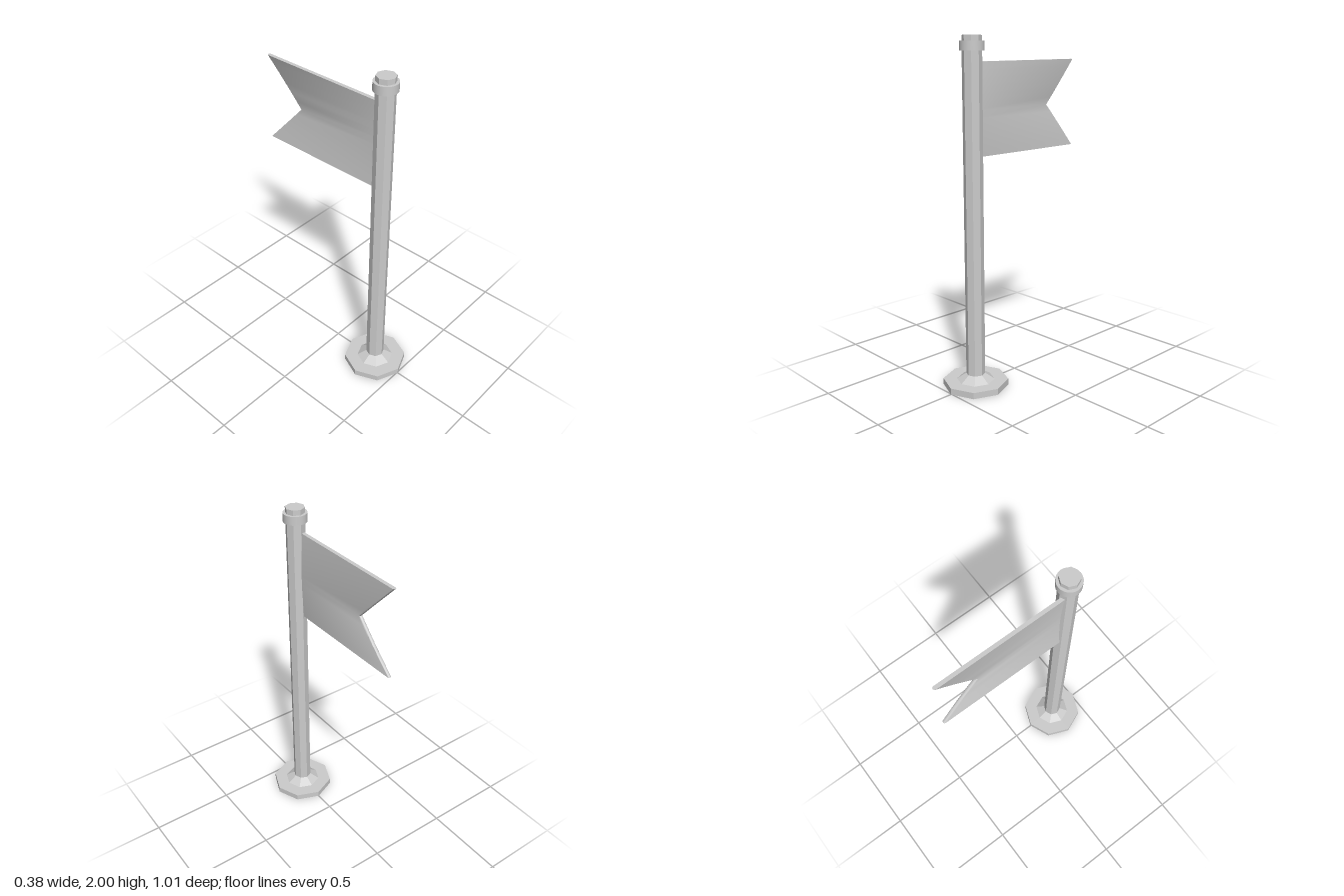
import * as THREE from 'three';
import { toCreasedNormals } from 'three/addons/utils/BufferGeometryUtils.js';

const POLE_Z = 0.315;
const SIDES = 8;

// Swallow-tailed flag: horizontal slices stacked from bottom to top, bowed sideways
function flagGeometry() {
  const rows = 12, bottom = 1.34, top = 1.86, mid = (bottom + top) / 2;
  const half = 0.011, round = 6;
  const positions = [], index = [];
  const count = round + 3;
  for (let r = 0; r <= rows; r++) {
    const y = THREE.MathUtils.lerp(bottom, top, r / rows);
    const t = Math.abs(y - mid) / (top - mid);
    const cx = -0.019 + 0.011 * (1 - t * t);
    const tip = THREE.MathUtils.lerp(-0.265, -0.505, t);
    positions.push(cx - half, y, 0.3);
    for (let i = 0; i <= round; i++) {
      const a = Math.PI * i / round;
      positions.push(cx - half * Math.cos(a), y, tip + half * (1 - Math.sin(a)));
    }
    positions.push(cx + half, y, 0.3);
  }
  for (let r = 0; r < rows; r++) {
    for (let i = 0; i < count; i++) {
      const a = r * count + i, b = r * count + (i + 1) % count;
      index.push(a, a + count, b, b, a + count, b + count);
    }
  }
  // bottom and top edges
  const last = rows * count;
  for (let i = 1; i < count - 1; i++) {
    index.push(0, i, i + 1, last, last + i + 1, last + i);
  }
  const g = new THREE.BufferGeometry();
  g.setAttribute('position', new THREE.Float32BufferAttribute(positions, 3));
  g.setIndex(index);
  return toCreasedNormals(g, 0.6);
}

export function createModel() {
  const group = new THREE.Group();
  group.name = 'flagpole';
  const faceted = new THREE.MeshStandardMaterial({ color: 0xcccccc, flatShading: true });
  const smooth = new THREE.MeshStandardMaterial({ color: 0xcccccc });

  // Upright cylinder on the pole axis, between two heights
  function post(name, rTop, rBottom, y0, y1, sides, material) {
    const mesh = new THREE.Mesh(new THREE.CylinderGeometry(rTop, rBottom, y1 - y0, sides), material);
    mesh.position.set(0, (y0 + y1) / 2, POLE_Z);
    mesh.name = name;
    group.add(mesh);
  }

  post('basePlate', 0.19, 0.19, 0, 0.037, SIDES, faceted);
  post('baseFlare', 0.055, 0.11, 0.037, 0.073, SIDES, faceted);
  post('pole', 0.055, 0.055, 0.037, 2, SIDES, faceted);
  post('collar', 0.068, 0.068, 1.92, 1.97, 24, smooth);

  const flag = new THREE.Mesh(flagGeometry(), smooth);
  flag.name = 'flag';
  group.add(flag);
  return group;
}
